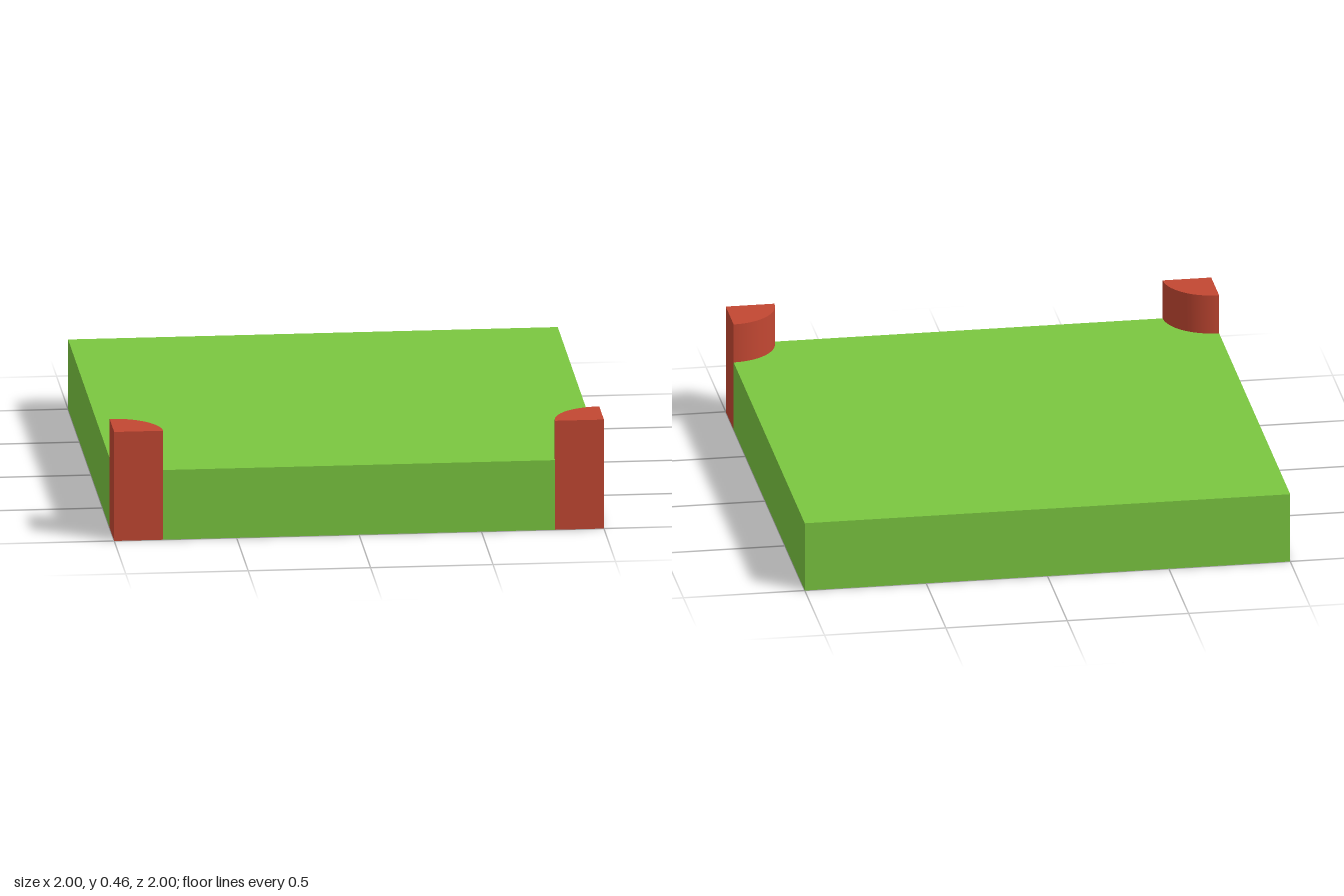
import * as THREE from 'three';
import { toCreasedNormals } from 'three/addons/utils/BufferGeometryUtils.js';

const RADIUS = 0.2, SLAB_HEIGHT = 0.294, POST_HEIGHT = 0.46;

const grass = new THREE.MeshStandardMaterial({ color: 0x7ac640 });
const clay = new THREE.MeshStandardMaterial({ color: 0xc24732 });

// Extrude a floor plan upward from y = 0 (plan y = -1 is the front)
function extrudeUp(shape, height) {
  const geometry = new THREE.ExtrudeGeometry(shape, { depth: height, bevelEnabled: false, curveSegments: 16 });
  return geometry.rotateX(-Math.PI / 2);
}

// Square slab with quarter-round notches at both front corners
function createSlab() {
  const plan = new THREE.Shape();
  plan.moveTo(1, 1);
  plan.lineTo(-1, 1);
  plan.absarc(-1, -1, RADIUS, Math.PI / 2, 0, true);
  plan.absarc(1, -1, RADIUS, Math.PI, Math.PI / 2, true);
  plan.closePath();
  const geometry = extrudeUp(plan, SLAB_HEIGHT);

  // The lower lid comes first: give it the clay colour, the rest is grass
  const lidCount = geometry.groups[0].count / 2;
  const total = geometry.attributes.position.count;
  geometry.clearGroups();
  geometry.addGroup(0, lidCount, 0);
  geometry.addGroup(lidCount, total - lidCount, 1);

  const slab = new THREE.Mesh(geometry, [clay, grass]);
  slab.name = 'grassSlab';
  return slab;
}

// Quarter-round post filling a front corner; side is -1 (right) or 1 (left)
function createPost(side) {
  const start = side < 0 ? 0 : Math.PI / 2;
  const plan = new THREE.Shape();
  plan.moveTo(side, -1);
  plan.lineTo(side + RADIUS * Math.cos(start), -1 + RADIUS * Math.sin(start));
  plan.absarc(side, -1, RADIUS, start, start + Math.PI / 2, false);
  plan.closePath();
  const post = new THREE.Mesh(toCreasedNormals(extrudeUp(plan, POST_HEIGHT), 0.5), clay);
  post.name = side < 0 ? 'rightCornerPost' : 'leftCornerPost';
  return post;
}

export function createModel() {
  const model = new THREE.Group();
  model.name = 'grassTile';
  model.add(createSlab());
  for (const side of [-1, 1]) model.add(createPost(side));
  return model;
}
